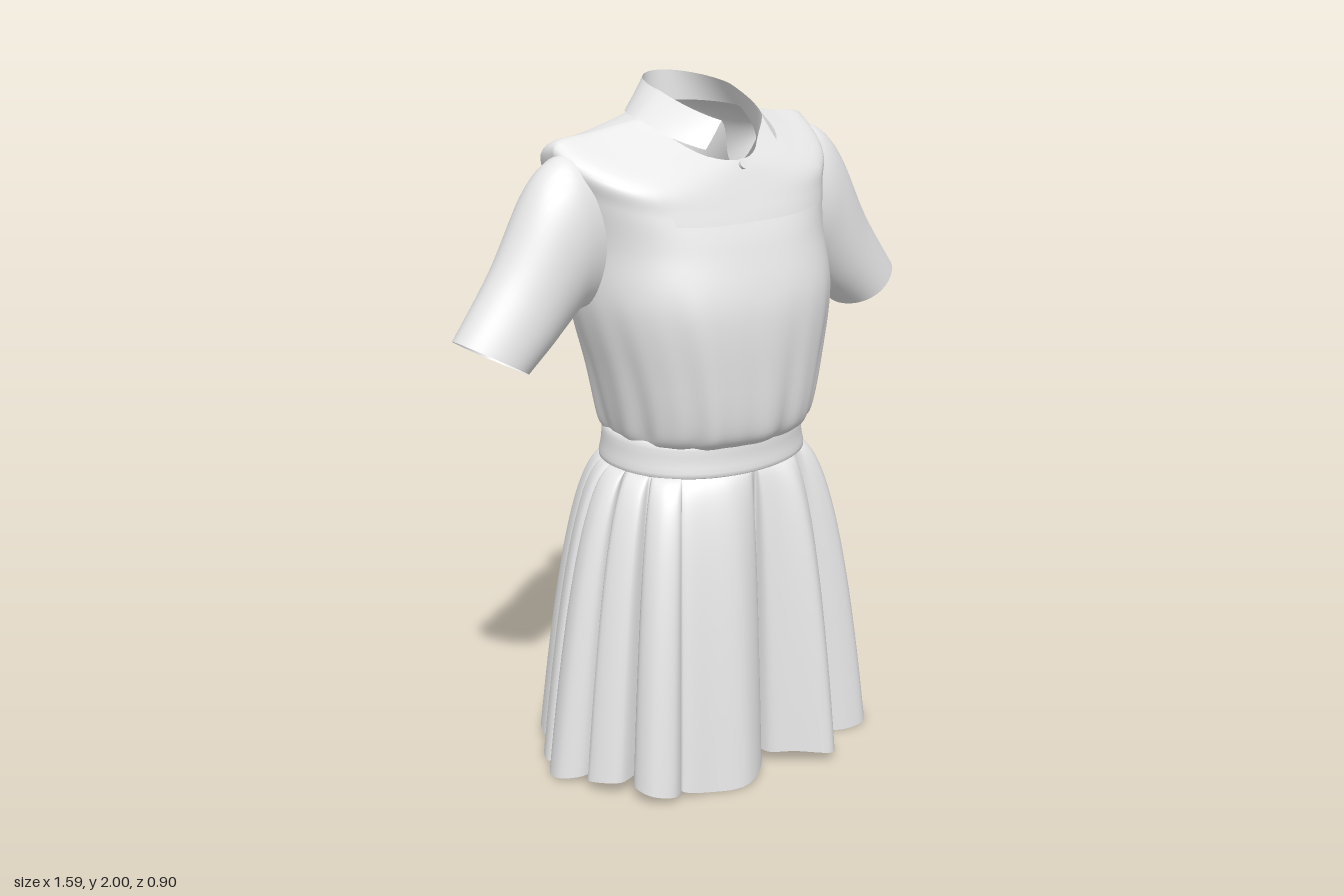
import * as THREE from 'three';

const cloth = new THREE.MeshStandardMaterial({ name: 'whiteCloth', color: 0xe7e7e7, side: THREE.DoubleSide });

const lerp = THREE.MathUtils.lerp;
const TAU = Math.PI * 2;

// Smooth grid surface from point(u, v), optionally closed around u
function loft(name, point, nu, nv, closed = true) {
  const pos = [], idx = [];
  const cols = closed ? nu : nu + 1;
  for (let j = 0; j <= nv; j++) {
    for (let i = 0; i < cols; i++) pos.push(...point(i / nu, j / nv));
  }
  for (let j = 0; j < nv; j++) {
    for (let i = 0; i < nu; i++) {
      const a = j * cols + i, b = j * cols + (i + 1) % cols;
      idx.push(a, b, b + cols, a, b + cols, a + cols);
    }
  }
  const g = new THREE.BufferGeometry();
  g.setAttribute('position', new THREE.Float32BufferAttribute(pos, 3));
  g.setIndex(idx);
  g.computeVertexNormals();
  const mesh = new THREE.Mesh(g, cloth);
  mesh.name = name;
  return mesh;
}

// Catmull-Rom blend between rows of section parameters
function blend(rows, t) {
  const n = rows.length - 1;
  const k = Math.min(Math.floor(t * n), n - 1), f = t * n - k;
  const r = i => rows[Math.max(0, Math.min(n, i))];
  return rows[0].map((_, c) => {
    const [a, b, d, e] = [r(k - 1)[c], r(k)[c], r(k + 1)[c], r(k + 2)[c]];
    return b + 0.5 * f * (d - a + f * (2 * a - 5 * b + 4 * d - e + f * (3 * (b - d) + e - a)));
  });
}

// Point on a rounded section; angle 0 is the front, then towards +x
function section([yf, ys, yb, rx, zf, zb, zc, e, ef], a, grow = 0) {
  const s = Math.sin(a), c = Math.cos(a);
  const x = Math.sign(s) * Math.abs(s) ** e * (rx + grow);
  const z = c > 0 ? zc + (zf + grow - zc) * c ** ef : zc - (zc - zb + grow) * Math.abs(c) ** e;
  return [x, lerp(ys, c > 0 ? yf : yb, Math.abs(c)), z];
}

// Bodice rows: y front, side, back; half width; z front, back, centre; roundness, front roundness
const BODICE = [
  [0.99, 0.99, 0.99, 0.285, 0.275, -0.225, 0.02, 0.95, 0.95],
  [1.04, 1.04, 1.04, 0.305, 0.325, -0.248, 0.02, 0.9, 0.9],
  [1.20, 1.20, 1.20, 0.345, 0.342, -0.26, 0.02, 0.88, 0.9],
  [1.40, 1.40, 1.40, 0.395, 0.338, -0.262, 0.0, 0.82, 0.95],
  [1.56, 1.58, 1.57, 0.405, 0.288, -0.254, -0.03, 0.78, 1.0],
  [1.65, 1.74, 1.68, 0.435, 0.245, -0.24, -0.05, 0.7, 1.05],
  [1.71, 1.845, 1.77, 0.45, 0.217, -0.215, -0.06, 0.65, 1.1],
  [1.755, 1.87, 1.85, 0.32, 0.194, -0.192, -0.045, 0.8, 1.0],
  [1.785, 1.90, 1.91, 0.165, 0.175, -0.178, -0.01, 1, 1],
];
function bodicePoint(a, v, lift = 0) {
  const row = blend(BODICE, v);
  const fade = Math.max(0, 1 - v / 0.42) * Math.min(1, v * 9);
  const gather = fade * (0.008 * Math.cos(13 * a + 0.6) + 0.005 * Math.cos(22 * a));
  const p = section(row, a, gather + lift);
  p[1] += v > 0.6 ? lift : 0;
  return p;
}
const patch = (name, a0, a1, v0, v1, lift) =>
  loft(name, (u, v) => bodicePoint(lerp(a0, a1, u), lerp(v0, v1, v), lift), 24, 16, false);

// Hem outline of the pleats: broad outer folds with narrow valleys, x and z in pairs
const HEM = [
  -0.01, 0.27, 0.0, 0.34, 0.06, 0.39, 0.15, 0.45, 0.2, 0.4, 0.2, 0.32,
  0.16, 0.27, 0.25, 0.29, 0.33, 0.33, 0.4, 0.33, 0.44, 0.26,
  0.36, 0.2, 0.43, 0.23, 0.47, 0.2, 0.48, 0.13,
  0.41, 0.1, 0.52, 0.12, 0.57, 0.07, 0.585, 0.0, 0.55, -0.06,
  0.43, -0.03, 0.5, -0.08, 0.52, -0.15, 0.46, -0.18,
  0.36, -0.13, 0.42, -0.19, 0.41, -0.27, 0.35, -0.29,
  0.3, -0.23, 0.33, -0.31, 0.26, -0.33, 0.2, -0.31,
  0.18, -0.28, 0.21, -0.36, 0.13, -0.45, 0.06, -0.4,
  0.07, -0.29, 0.03, -0.38, -0.03, -0.34,
  -0.06, -0.28, -0.06, -0.39, -0.13, -0.45, -0.2, -0.39,
  -0.17, -0.3, -0.23, -0.39, -0.29, -0.33,
  -0.27, -0.25, -0.33, -0.29, -0.4, -0.27, -0.43, -0.19,
  -0.35, -0.13, -0.46, -0.16, -0.5, -0.09,
  -0.41, -0.03, -0.53, -0.04, -0.55, 0.03, -0.5, 0.08,
  -0.41, 0.07, -0.51, 0.12, -0.46, 0.21,
  -0.37, 0.19, -0.44, 0.25, -0.43, 0.32, -0.37, 0.35, -0.31, 0.31,
  -0.28, 0.24, -0.33, 0.33, -0.24, 0.37, -0.14, 0.405, -0.05, 0.36,
];

// Sleeve rows: lower x, y; upper x, y; half depth
const SLEEVE = [
  [0.34, 1.40, 0.39, 1.82, 0.115],
  [0.42, 1.39, 0.465, 1.815, 0.125],
  [0.465, 1.355, 0.55, 1.74, 0.122],
  [0.53, 1.30, 0.665, 1.54, 0.114],
  [0.60, 1.245, 0.797, 1.36, 0.106],
];

export function createModel() {
  const dress = new THREE.Group();
  dress.name = 'dress';

  // Pleated skirt, folds deepening from belt to hem
  const hem = [];
  for (let i = 0; i < HEM.length; i += 2) hem.push(new THREE.Vector3(HEM[i], 0, HEM[i + 1]));
  const hemCurve = new THREE.CatmullRomCurve3(hem, true);
  dress.add(loft('pleatedSkirt', (u, v) => {
    const d = (1 - v) ** 2;
    const h = hemCurve.getPoint(u);
    const a = Math.atan2(h.x, h.z - 0.02);
    const s = d ** 0.45;
    const y = lerp(0.92, 0.02 + 0.02 * Math.sin(a * 5 + 1), d);
    return [lerp(0.295 * Math.sin(a), h.x, s), y, lerp(0.02 + 0.255 * Math.cos(a), h.z, s)];
  }, 414, 22));

  // Waistband
  const BELT = [
    [0.915, 0.915, 0.915, 0.295, 0.275, -0.23, 0.02, 0.95, 0.95],
    [0.918, 0.918, 0.918, 0.315, 0.292, -0.245, 0.02, 0.95, 0.95],
    [0.96, 0.96, 0.96, 0.308, 0.287, -0.24, 0.02, 0.95, 0.95],
    [1.008, 1.008, 1.008, 0.3, 0.285, -0.238, 0.02, 0.95, 0.95],
    [1.012, 1.012, 1.012, 0.28, 0.27, -0.22, 0.02, 0.95, 0.95],
  ];
  dress.add(loft('waistband', (u, v) => section(blend(BELT, v), u * TAU), 72, 12));

  // Bodice with front bib halves and back yoke
  dress.add(loft('bodice', (u, v) => bodicePoint(u * TAU, v), 120, 56));
  dress.add(patch('bibLeft', 0, 0.6, 0.59, 0.99, 0.006));
  dress.add(patch('bibRight', -0.5, 0, 0.59, 0.99, 0.004));
  dress.add(patch('backYoke', Math.PI - 0.5, Math.PI + 0.5, 0.72, 0.99, 0.004));

  // Short sleeves, slightly narrower along the upper edge of the cuff
  for (const side of [1, -1]) {
    dress.add(loft(side > 0 ? 'leftSleeve' : 'rightSleeve', (u, v) => {
      const [lx, ly, tx, ty, depth] = blend(SLEEVE, v);
      const a = side * u * TAU, c = Math.cos(a);
      const k = c * 0.5 + 0.5;
      const z = -0.033 + depth * Math.sin(a) * (1 - 0.2 * v * c);
      return [side * lerp(lx, tx, k), lerp(ly, ty, k), z];
    }, 48, 24));
  }

  // Collar: inner stand rising from the neckline, then the fold turned down outside
  const NECK = [1.785, 1.90, 1.91, 0.165, 0.175, -0.178, -0.01, 1, 1];
  const FOLD = [1.889, 1.968, 1.997, 0.125, 0.24, -0.185, -0.01, 1, 1];
  const FALL = [1.81, 1.90, 1.91, 0.205, 0.25, -0.19, -0.01, 1, 1];
  const around = (u, gap) => lerp(gap, TAU - gap, u);
  dress.add(loft('collarStand', (u, v) => {
    const a = around(u, lerp(0.15, 0.62, v));
    return section(blend([NECK, FOLD], v), a);
  }, 60, 6, false));
  dress.add(loft('collarFall', (u, v) => {
    const a = around(u, lerp(0.68, 0.62, v));
    return section(blend([FALL, FOLD], v), a);
  }, 60, 8, false));

  // Neck button
  const button = new THREE.Mesh(new THREE.CylinderGeometry(0.012, 0.012, 0.01, 16), cloth);
  button.name = 'neckButton';
  button.rotation.x = Math.PI / 2 - 0.5;
  button.position.set(0.005, 1.775, 0.193);
  dress.add(button);

  return dress;
}
